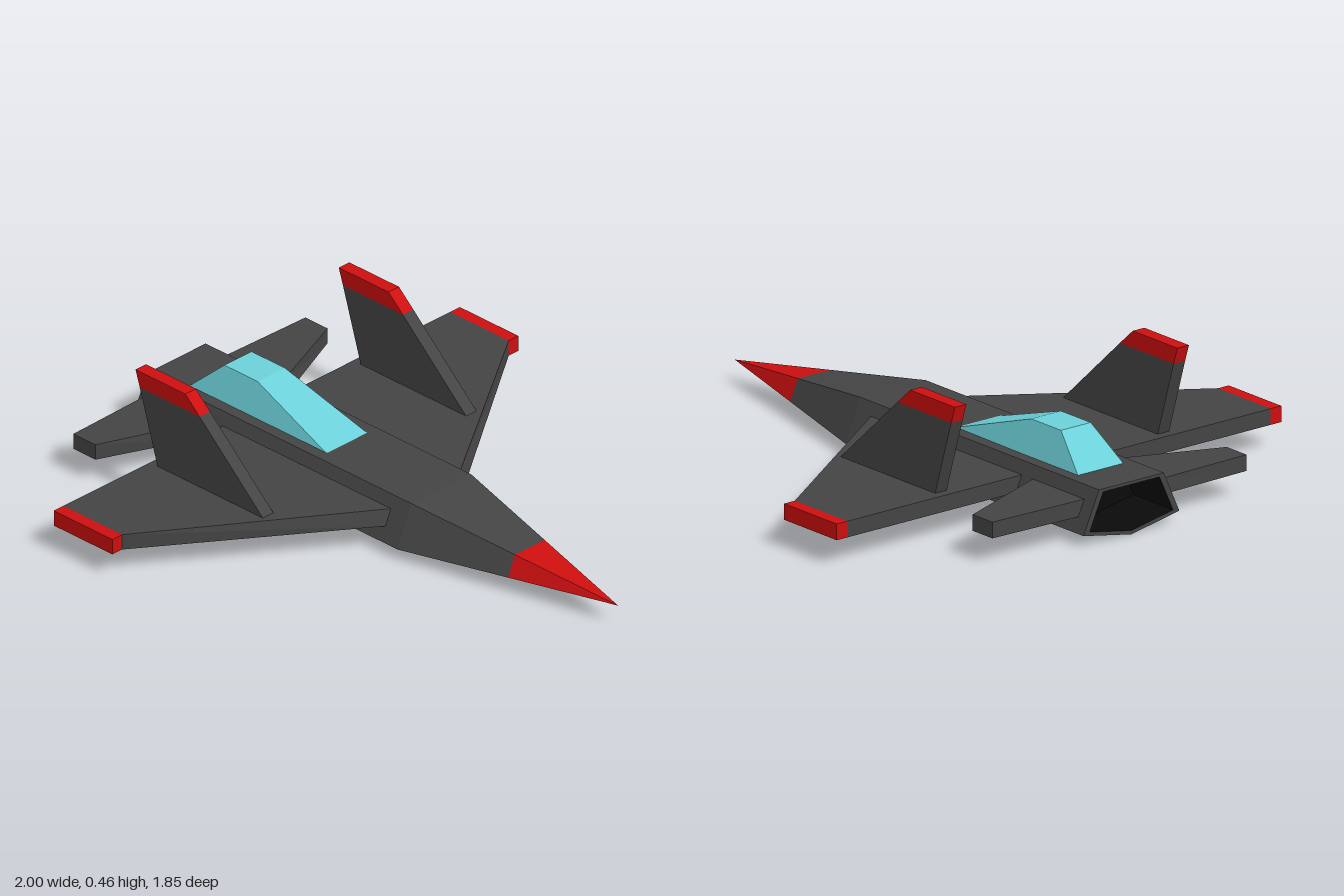
import * as THREE from 'three';

const mat = (color) => new THREE.MeshStandardMaterial({ color, flatShading: true });
const grey = mat(0x444444), red = mat(0xcc0f0f), glass = mat(0x6cd0d8), black = mat(0x0a0a0a);

// Skin a list of equal rings; each ring runs counter-clockwise seen from the last ring's end
function loft(rings, capStart = true, capEnd = true) {
  const pos = [];
  const tri = (a, b, c) => pos.push(...a, ...b, ...c);
  const n = rings[0].length;
  for (let r = 0; r < rings.length - 1; r++) {
    const A = rings[r], B = rings[r + 1];
    for (let i = 0; i < n; i++) {
      const j = (i + 1) % n;
      tri(A[i], A[j], B[j]);
      tri(A[i], B[j], B[i]);
    }
  }
  const first = rings[0], last = rings[rings.length - 1];
  for (let i = 1; i < n - 1; i++) {
    if (capStart) tri(first[0], first[i + 1], first[i]);
    if (capEnd) tri(last[0], last[i], last[i + 1]);
  }
  const geo = new THREE.BufferGeometry();
  geo.setAttribute('position', new THREE.Float32BufferAttribute(pos, 3));
  geo.computeVertexNormals();
  return geo;
}

export function createModel() {
  const model = new THREE.Group();
  model.name = 'jet';
  const add = (name, geo, material) => {
    const mesh = new THREE.Mesh(geo, material);
    mesh.name = name;
    model.add(mesh);
  };
  // A loft along z, and its mirror image on the other side
  const addPair = (name, rings, material) => {
    add(name + 'Near', loft(rings), material);
    const flipped = rings.map((ring) => ring.map(([x, y, z]) => [x, y, -z])).reverse();
    add(name + 'Far', loft(flipped), material);
  };

  // Fuselage cross-section as [z, y], shrunk towards height cy
  const section = [[-0.135, 0.18], [0.135, 0.18], [0.2, 0.037], [0, 0], [-0.2, 0.037]];
  const ring = (x, s = 1, cy = 0.07) => section.map(([z, y]) => [x, cy + (y - cy) * s, z * s]);
  const inner = (x) => ring(x, 0.87, 0.1);
  add('fuselage', loft([inner(-1), ring(-1), ring(0.2), ring(0.6, 0.5)], false, false), grey);
  add('exhaust', loft([inner(-0.8), inner(-1)], true, false), black);
  add('noseCone', loft([ring(0.6, 0.5), ring(1, 0)], false, false), red);

  // Canopy: flat-topped, with a long slope towards the nose
  const pane = (x, y, top) => [[x, y, -top], [x, y, top], [x, 0.178, 0.095], [x, 0.178, -0.095]];
  add('canopy', loft([
    pane(-0.845, 0.18, 0.095), pane(-0.72, 0.293, 0.062),
    pane(-0.57, 0.293, 0.062), pane(-0.225, 0.18, 0.09),
  ]), glass);

  // Wings and tailplanes: flat slabs whose roots lean with the fuselage side
  const y0 = 0.085, y1 = 0.14;
  const slab = (xa, xb, zBottom, zTop = zBottom) =>
    [[xa, y0, zBottom], [xb, y0, zBottom], [xb, y1, zTop], [xa, y1, zTop]];
  addPair('wing', [slab(-0.635, 0.125, 0.18, 0.155), slab(-0.635, -0.37, 0.883)], grey);
  addPair('wingTip', [slab(-0.635, -0.37, 0.883), slab(-0.635, -0.37, 0.927)], red);
  addPair('tailplane', [slab(-0.95, -0.69, 0.18, 0.155), slab(-0.94, -0.84, 0.53)], grey);

  // Swept fins standing on the wings
  const fin = (points) => [0.44, 0.488].map((z) => points.map(([x, y]) => [x, y, z]));
  addPair('fin', fin([[-0.6, 0.138], [-0.122, 0.138], [-0.41, 0.4], [-0.681, 0.4]]), grey);
  addPair('finTip', fin([[-0.681, 0.4], [-0.41, 0.4], [-0.475, 0.458], [-0.7, 0.458]]), red);

  return model;
}
